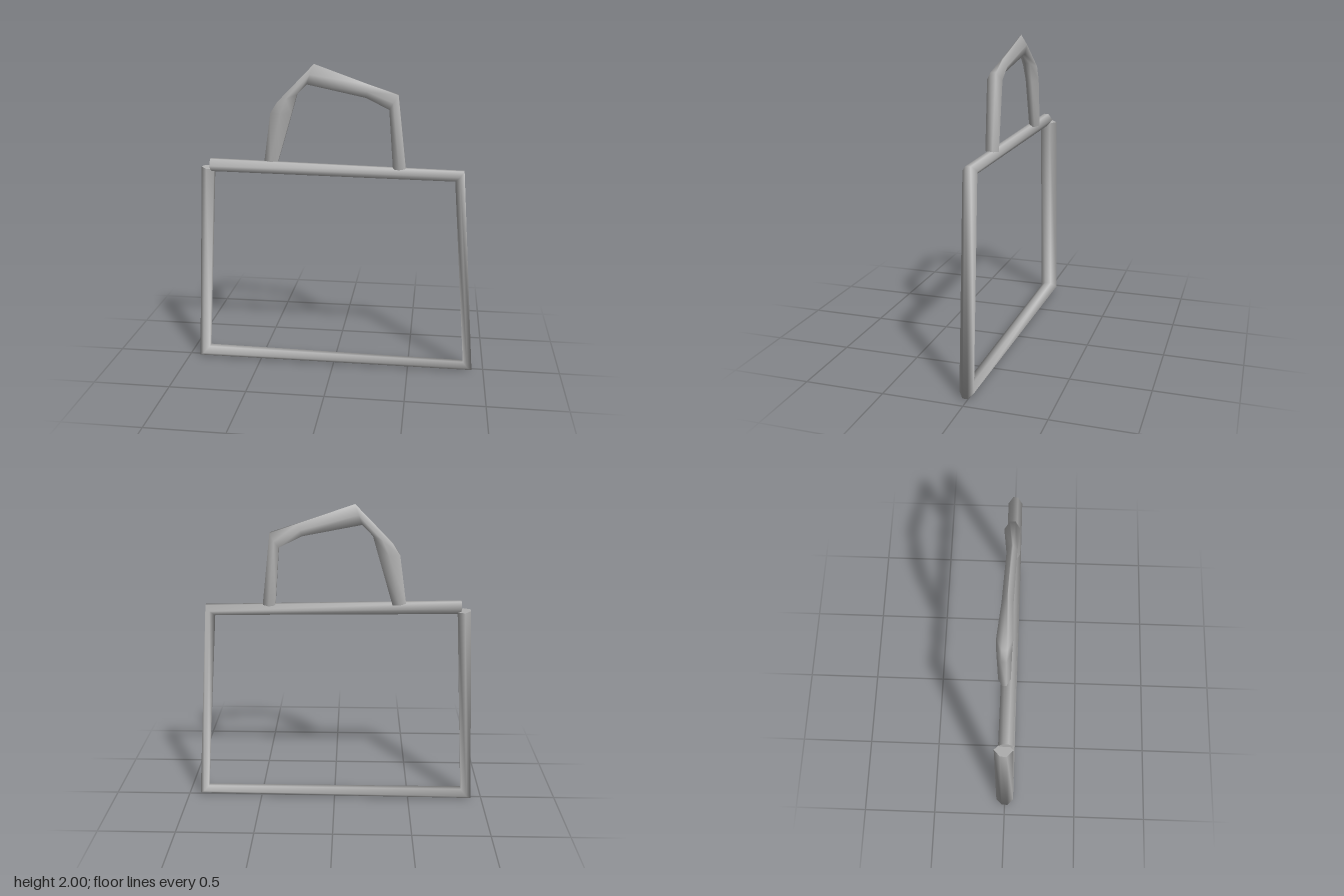
import * as THREE from 'three';

// Sweeps a soft hexagonal tube through stations of
// [outerX, outerY, innerX, innerY, frontZ, backZ, outerFlat].
function sweep(stations) {
  const pos = [], index = [], N = 6;
  for (const [ox, oy, ix, iy, zf, zb, flat = 0.35] of stations) {
    const mid = (zf + zb) / 2, half = (zf - zb) / 2;
    // t runs from the outer edge (0) to the inner edge (1), w from back to front
    const ring = [[0, flat], [0.5, 1], [1, 0.35], [1, -0.35], [0.5, -1], [0, -flat]];
    for (const [t, w] of ring) {
      pos.push(ox + (ix - ox) * t, oy + (iy - oy) * t, mid + half * w);
    }
  }
  const last = stations.length - 1;
  for (let i = 0; i < last; i++) {
    for (let k = 0; k < N; k++) {
      const a = i * N + k, b = i * N + (k + 1) % N;
      index.push(a, b, a + N, b, b + N, a + N);
    }
  }
  // end caps on their own vertices, so their edges stay sharp
  for (const end of [0, last]) {
    const base = pos.length / 3;
    pos.push(...pos.slice(end * N * 3, (end + 1) * N * 3));
    for (let k = 1; k < N - 1; k++) {
      if (end === 0) index.push(base, base + k + 1, base + k);
      else index.push(base, base + k, base + k + 1);
    }
  }
  const geometry = new THREE.BufferGeometry();
  geometry.setAttribute('position', new THREE.Float32BufferAttribute(pos, 3));
  geometry.setIndex(index);
  geometry.computeVertexNormals();
  return geometry;
}

export function createModel() {
  const group = new THREE.Group();
  const grey = new THREE.MeshStandardMaterial({ color: 0xb2b2b2, side: THREE.DoubleSide });
  grey.name = 'grey';

  const add = (name, stations) => {
    const mesh = new THREE.Mesh(sweep(stations), grey);
    mesh.name = name;
    group.add(mesh);
  };

  // bag outline, one run: top, right side, bottom, left side
  add('bagOutline', [
    [-0.80, 1.39, -0.80, 1.31, 0.055, -0.035],
    [0.82, 1.355, 0.765, 1.29, 0.058, -0.03],
    [0.925, 0.005, 0.865, 0.06, 0.06, -0.03],
    [-0.93, 0.0, -0.86, 0.067, 0.06, -0.06],
    [-0.86, 1.335, -0.78, 1.325, 0.055, -0.06],
  ]);

  // handle, pinched to a ridge at its peak
  add('handle', [
    [-0.45, 1.38, -0.365, 1.37, 0.025, -0.05],
    [-0.405, 1.69, -0.27, 1.69, 0.03, -0.06],
    [-0.36, 1.76, -0.235, 1.81, 0.035, -0.06],
    [-0.125, 2.0, -0.17, 1.875, 0.03, -0.035, 0.03],
    [0.22, 1.88, 0.2, 1.80, 0.04, -0.02, 0.15],
    [0.40, 1.82, 0.345, 1.73, 0.055, -0.04],
    [0.455, 1.36, 0.375, 1.355, 0.055, -0.03],
  ]);

  return group;
}
